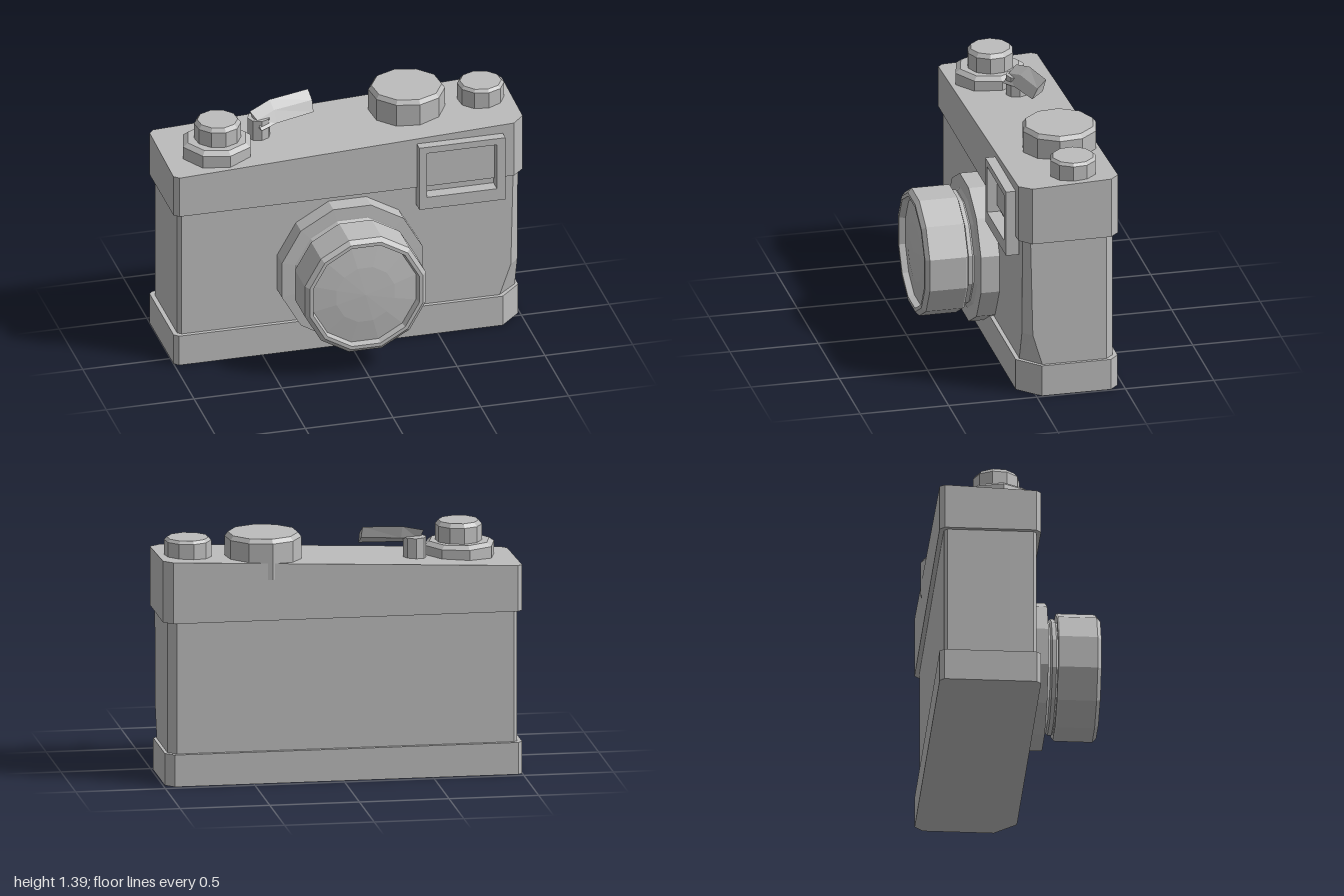
import * as THREE from 'three';

const grey = new THREE.MeshStandardMaterial({ color: 0xbcbcbc });
grey.name = 'plain grey';
grey.flatShading = true;

// Closed loft through rings of [x, y, z] points, capped at both ends
function loft(rings) {
  const pos = [];
  const tri = (a, b, c) => pos.push(...a, ...b, ...c);
  const n = rings[0].length;
  for (let k = 0; k < rings.length - 1; k++) {
    const lo = rings[k], hi = rings[k + 1];
    for (let i = 0; i < n; i++) {
      const j = (i + 1) % n;
      tri(lo[i], lo[j], hi[j]);
      tri(lo[i], hi[j], hi[i]);
    }
  }
  const first = rings[0], last = rings[rings.length - 1];
  for (let i = 1; i < n - 1; i++) {
    tri(first[0], first[i + 1], first[i]);
    tri(last[0], last[i], last[i + 1]);
  }
  const geo = new THREE.BufferGeometry();
  geo.setAttribute('position', new THREE.Float32BufferAttribute(pos, 3));
  geo.computeVertexNormals();
  return geo;
}

// Rectangle with four chamfered corners; height is a rule of x and z
function plan({ x0, x1, z0, z1, left, back, frontX, frontZ }, height) {
  return [
    [x0 + left, z1], [x1 - frontX, z1], [x1, z1 - frontZ], [x1, z0 + back],
    [x1 - back, z0], [x0 + left, z0], [x0, z0 + left], [x0, z1 - left],
  ].map(([x, z]) => [x, height(x, z), z]);
}

function lathe(points, sides, phi) {
  return new THREE.LatheGeometry(points.map(([r, y]) => new THREE.Vector2(r, y)), sides, phi);
}

// Faceted knob with a bevelled top edge
function knob(radius, bottom, shoulder, top, bevel, sides, phi) {
  return lathe([[0, bottom], [radius, bottom], [radius, shoulder], [radius - bevel, top], [0, top]], sides, phi);
}

export function createModel() {
  const model = new THREE.Group();
  model.name = 'camera';
  const add = (name, geometry, x = 0, y = 0, z = 0) => {
    const mesh = new THREE.Mesh(geometry, grey);
    mesh.name = name;
    mesh.position.set(x, y, z);
    model.add(mesh);
    return mesh;
  };

  // Base plate
  const base = { x0: -1, x1: 0.99, z0: -0.47, z1: 0.09, left: 0.025, back: 0.05, frontX: 0.12, frontZ: 0.12 };
  add('basePlate', loft([plan(base, () => 0), plan(base, () => 0.18)]));

  // Middle body, its front corner cut flaring out towards the base
  const middle = { x0: -0.975, x1: 0.972, z0: -0.445, z1: 0.067, left: 0.02, back: 0.045 };
  add('bodyShell', loft([
    [0.17, 0.117, 0.107], [0.36, 0.05, 0.05], [0.93, 0.037, 0.037],
  ].map(([y, frontX, frontZ]) => plan({ ...middle, frontX, frontZ }, () => y))));

  // Top cover with a sloping deck
  const cover = { x0: -1, x1: 1, z0: -0.47, z1: 0.09, left: 0.028, back: 0.05, frontX: 0.065, frontZ: 0.065 };
  const deck = (x, z) => 1.203 + 0.045 * x - 0.036 * (z - 0.09);
  add('topCover', loft([plan(cover, () => 0.92), plan(cover, deck)]));

  // Lens: mount ring, neck and barrel with a recessed domed glass
  const lensGroup = new THREE.Group();
  lensGroup.name = 'lens';
  lensGroup.position.set(-0.01, 0.49, 0);
  model.add(lensGroup);
  const lensPart = (name, points) => {
    const mesh = new THREE.Mesh(lathe(points, 12, Math.PI / 12).rotateX(Math.PI / 2), grey);
    mesh.name = name;
    lensGroup.add(mesh);
  };
  lensPart('lensMount', [[0, 0.03], [0.414, 0.03], [0.414, 0.172], [0.345, 0.175], [0, 0.175]]);
  lensPart('lensNeck', [[0.345, 0.17], [0.315, 0.19], [0.325, 0.2], [0.325, 0.222], [0.31, 0.235]]);
  lensPart('lensBarrel', [
    [0.3, 0.23], [0.35, 0.23], [0.357, 0.24], [0.357, 0.448], [0.333, 0.47],
    [0.313, 0.47], [0.302, 0.435],
  ]);
  lensPart('lensGlass', [[0.305, 0.435], [0.17, 0.452], [0, 0.459]]);

  // Viewfinder frame with an open window
  const rect = (shape, x0, y0, x1, y1) => {
    shape.moveTo(x0, y0);
    shape.lineTo(x1, y0);
    shape.lineTo(x1, y1);
    shape.lineTo(x0, y1);
    shape.closePath();
    return shape;
  };
  const frame = rect(new THREE.Shape(), 0.38, 0.808, 0.87, 1.19);
  frame.holes.push(rect(new THREE.Path(), 0.423, 0.88, 0.822, 1.152));
  add('viewfinderFrame', new THREE.ExtrudeGeometry(frame, { depth: 0.075, bevelEnabled: false }), 0, 0, 0.07);

  // Knobs and dials on the deck
  add('rewindBase', knob(0.2, 1.1, 1.242, 1.263, 0.028, 8, 0.13), -0.7, 0, -0.135);
  add('rewindKnob', knob(0.13, 1.2, 1.352, 1.375, 0.018, 10, 0.1), -0.695, 0, -0.138);
  add('speedDial', knob(0.212, 1.15, 1.352, 1.376, 0.018, 10, 0.1), 0.417, 0, -0.265);
  add('shutterKnob', knob(0.13, 1.18, 1.342, 1.358, 0.015, 10, 0.1), 0.833, 0, -0.243);

  // Winding lever: a post and a bent, tilted arm
  add('leverPost', new THREE.CylinderGeometry(0.065, 0.065, 0.17, 8), -0.435, 1.225, -0.23);
  add('leverArm', loft([
    [[-0.44, 1.26, -0.15], [-0.465, 1.285, -0.21], [-0.485, 1.345, -0.235], [-0.455, 1.31, -0.185]],
    [[-0.345, 1.275, -0.19], [-0.355, 1.31, -0.255], [-0.36, 1.38, -0.28], [-0.35, 1.34, -0.225]],
    [[-0.12, 1.29, -0.24], [-0.125, 1.33, -0.3], [-0.13, 1.395, -0.32], [-0.12, 1.35, -0.27]],
  ]));

  return model;
}
